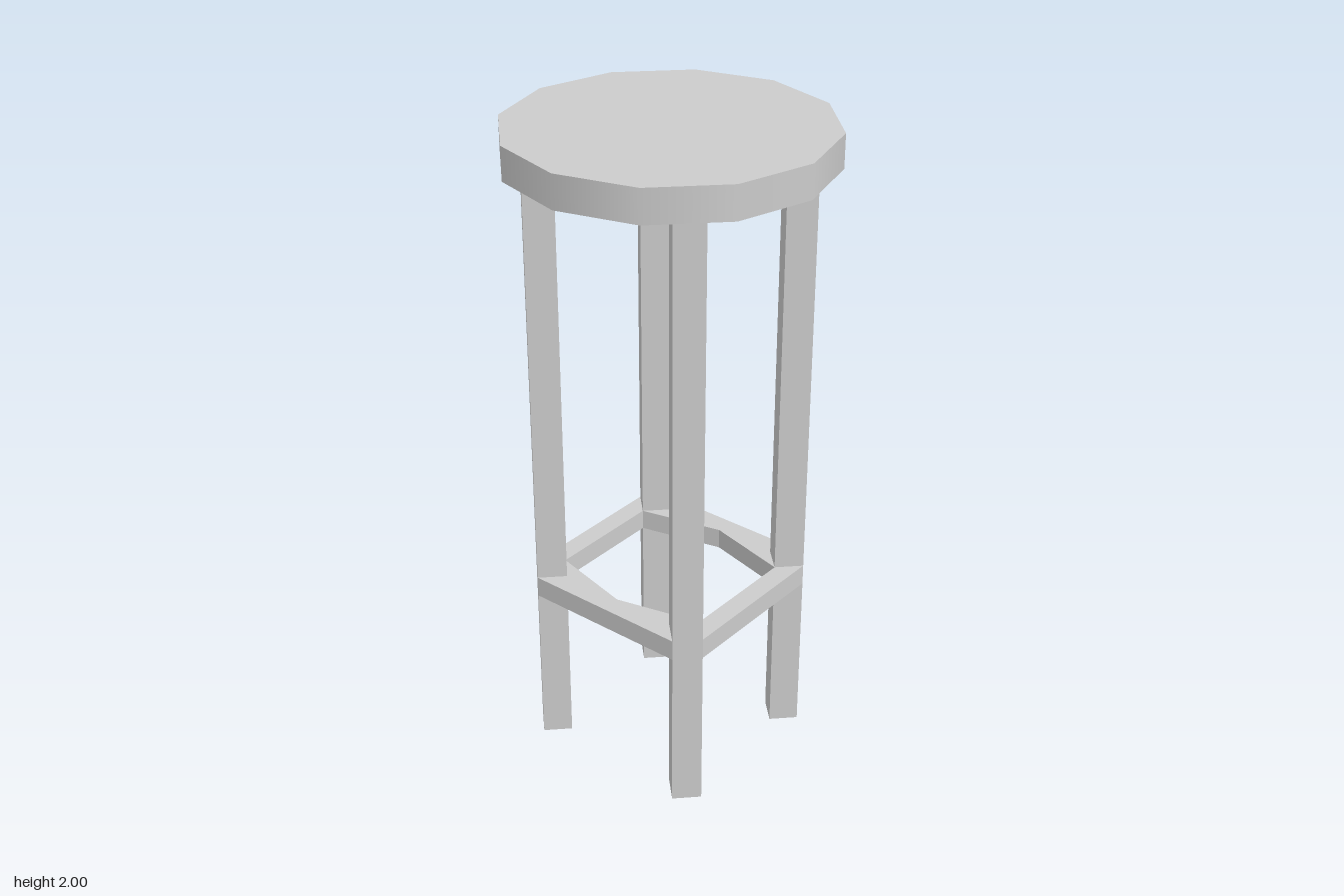
import * as THREE from 'three';

const LEG_X = 0.25, LEG_Z = 0.263, LEG_DIAGONAL = 0.063; // leg centres and half diagonal
const SEAT_BOTTOM = 1.9, RAIL_BOTTOM = 0.52, RAIL_HEIGHT = 0.065;

export function createModel() {
  const stool = new THREE.Group();
  stool.name = 'stool';
  const material = new THREE.MeshStandardMaterial({ color: 0xcccccc });

  const add = (name, geometry, x, y, z) => {
    const mesh = new THREE.Mesh(geometry, material);
    mesh.name = name;
    mesh.position.set(x, y, z);
    stool.add(mesh);
    return mesh;
  };

  // Twelve-sided seat
  add('seat', new THREE.CylinderGeometry(0.475, 0.475, 0.1, 12), 0, SEAT_BOTTOM + 0.05, 0);

  // Square legs turned 45 degrees
  const legSide = LEG_DIAGONAL * Math.SQRT2;
  const legGeometry = new THREE.BoxGeometry(legSide, SEAT_BOTTOM, legSide).rotateY(Math.PI / 4);
  for (const [side, sx] of [['Left', 1], ['Right', -1]]) {
    for (const [end, sz] of [['front', 1], ['back', -1]]) {
      add(`${end}${side}Leg`, legGeometry, sx * LEG_X, SEAT_BOTTOM / 2, sz * LEG_Z);
    }
  }

  // Straight front and back rails, outer faces flush with the leg corners
  const railGeometry = new THREE.BoxGeometry(LEG_X * 2, RAIL_HEIGHT, LEG_DIAGONAL);
  for (const [name, sz] of [['frontRail', 1], ['backRail', -1]]) {
    add(name, railGeometry, 0, RAIL_BOTTOM + RAIL_HEIGHT / 2, sz * (LEG_Z + LEG_DIAGONAL / 2));
  }

  // Side rails, wide at the legs and narrowed to a notch at the middle of the inner edge
  const outer = LEG_X + LEG_DIAGONAL, inner = LEG_X - LEG_DIAGONAL;
  const plan = new THREE.Shape([
    new THREE.Vector2(outer, -LEG_Z),
    new THREE.Vector2(outer, LEG_Z),
    new THREE.Vector2(inner, LEG_Z),
    new THREE.Vector2(LEG_X, 0),
    new THREE.Vector2(inner, -LEG_Z),
  ]);
  const sideRailGeometry = new THREE.ExtrudeGeometry(plan, { depth: RAIL_HEIGHT, bevelEnabled: false })
    .rotateX(-Math.PI / 2);
  add('leftRail', sideRailGeometry, 0, RAIL_BOTTOM, 0);
  add('rightRail', sideRailGeometry, 0, RAIL_BOTTOM, 0).rotation.y = Math.PI;

  return stool;
}
